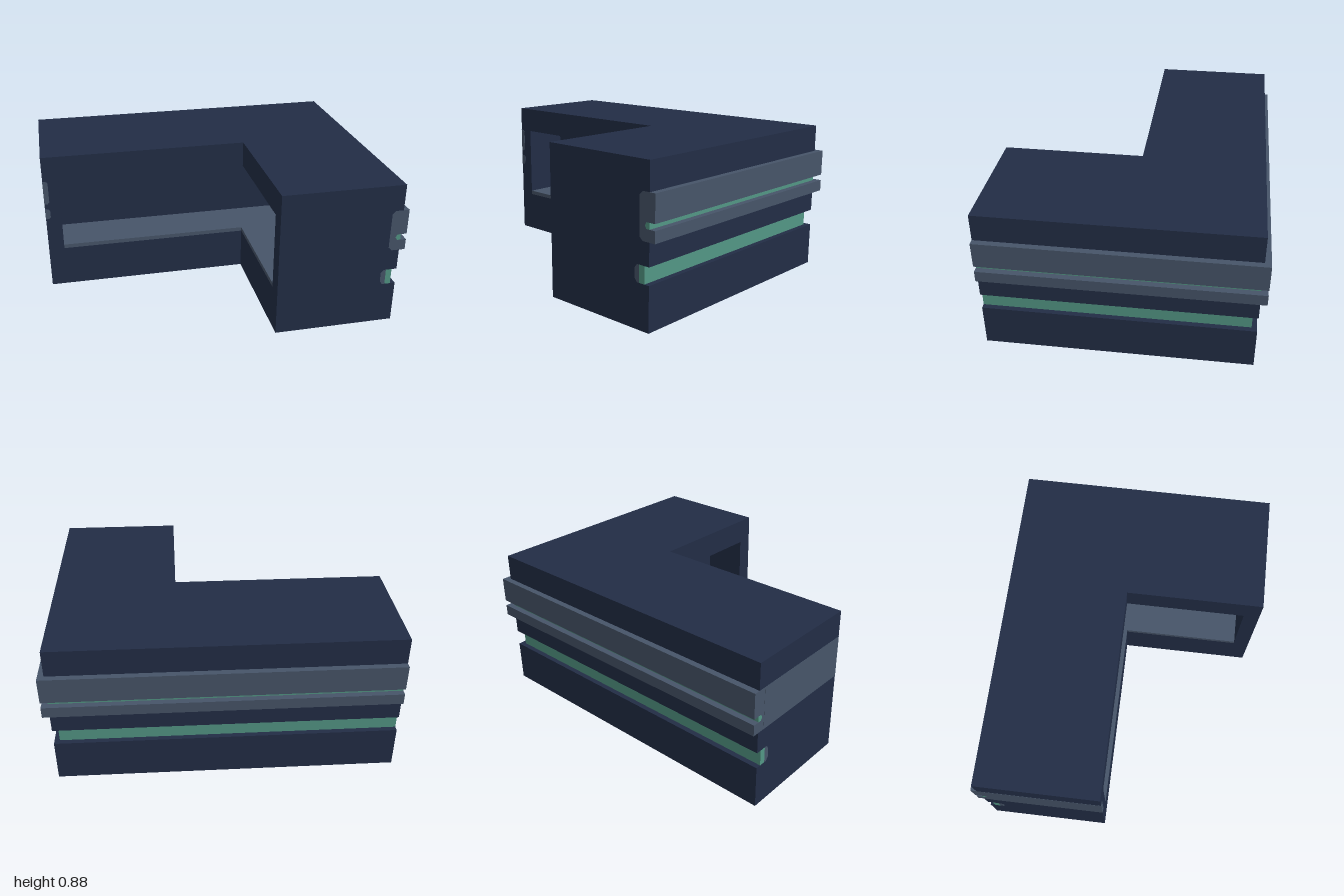
import * as THREE from 'three';

const mat = (name, color) => {
  const m = new THREE.MeshStandardMaterial({ color });
  m.name = name;
  return m;
};

// Sweep a profile of [inset, height] points along the outer side of the L, mitred at the corner
function sweep(points) {
  let pts = points.map(([d, y]) => new THREE.Vector2(-d, y));
  if (THREE.ShapeUtils.isClockWise(pts)) pts.reverse();
  const stations = [
    (p) => [1 + p.x, p.y, 0.78],
    (p) => [1 + p.x, p.y, -0.78 - p.x],
    (p) => [-1, p.y, -0.78 - p.x],
  ];
  const pos = [];
  const tri = (a, b, c) => pos.push(...a, ...b, ...c);
  pts.forEach((p, i) => {
    const q = pts[(i + 1) % pts.length];
    for (let s = 0; s < 2; s++) {
      const [A, B] = [stations[s], stations[s + 1]];
      tri(A(p), B(p), B(q));
      tri(A(p), B(q), A(q));
    }
  });
  for (const [a, b, c] of THREE.ShapeUtils.triangulateShape(pts, [])) {
    tri(stations[0](pts[a]), stations[0](pts[b]), stations[0](pts[c]));
    tri(stations[2](pts[a]), stations[2](pts[c]), stations[2](pts[b]));
  }
  const g = new THREE.BufferGeometry();
  g.setAttribute('position', new THREE.Float32BufferAttribute(pos, 3));
  g.computeVertexNormals();
  return g;
}

// Extrude a plan of [x, z] points from y0 up to y1
function slab(plan, y0, y1) {
  const shape = new THREE.Shape(plan.map(([x, z]) => new THREE.Vector2(x, -z)));
  return new THREE.ExtrudeGeometry(shape, { depth: y1 - y0, bevelEnabled: false })
    .rotateX(-Math.PI / 2).translate(0, y0, 0);
}

export function createModel() {
  const group = new THREE.Group();
  const navy = mat('navy', 0x222d46);
  const slate = mat('slate', 0x475569);
  const teal = mat('teal', 0x539785);
  const add = (name, geometry, material) => {
    const m = new THREE.Mesh(geometry, material);
    m.name = name;
    group.add(m);
    return m;
  };

  // Heights and plan lines
  const H = 0.876, recess0 = 0.255, recess1 = 0.72, inset = 0.14;
  const ox = 1 - inset, oz = -0.78 + inset; // outer lines of the core
  const ix = 0.25, iz = -0.035;             // inner corner
  const rx = 0.53, rz = -0.32;              // back walls of the recess
  const ex = -0.905, ez = 0.685;            // ends of the recess

  // Core: solid below and above, hollowed on the inner side between
  const outer = [[-1, iz], [-1, oz], [ox, oz], [ox, 0.78], [ix, 0.78]];
  const full = [...outer, [ix, iz]];
  const hollow = [...outer, [ix, ez], [rx, ez], [rx, rz], [ex, rz], [ex, iz]];
  add('base', slab(full, 0, recess0), navy);
  add('recessWalls', slab(hollow, recess0, recess1), navy);
  add('top', slab(full, recess1, H), navy);
  add('shelf', slab([[ex, iz], [ex, rz], [rx, rz], [rx, ez], [ix, ez], [ix, iz]],
    recess0, 0.28), slate);

  // Outer shell with a socket for the rail and one for the light strip
  const rail = [[0.08, 0.47], [0.1, 0.49], [0.1, 0.7], [0.08, 0.72]];
  const channel = [[0.1, 0.25], [0.115, 0.25], [0.13, 0.27], [0.13, 0.325], [0.115, 0.345], [0.1, 0.345]];
  add('outerShell', sweep([
    [inset, 0], [0.035, 0], [0.035, 0.25], ...channel, [0.035, 0.345],
    [0.035, 0.47], ...rail, [0.035, 0.72], [0.035, H], [inset, H],
  ]), navy);

  // Protruding rail with a lit groove
  const groove = [[0.035, 0.57], [0.055, 0.57], [0.065, 0.552], [0.055, 0.535], [0.035, 0.535]];
  add('rail', sweep([
    [0, 0.47], ...rail, [0, 0.72], [0, 0.57], ...groove, [0, 0.535],
  ]), slate);
  add('railLight', sweep(groove), teal);

  // Sunken light strip and its backing
  add('stripBacking', sweep(channel), slate);
  add('stripLight', sweep([[0.065, 0.25], [0.1, 0.25], [0.1, 0.345], [0.065, 0.345]]), teal);

  // Band across the left end, wrapping as two short tabs onto the inner face
  const band = add('endBand', new THREE.BoxGeometry(0.002, 0.25, 0.665), slate);
  band.position.set(-1, 0.595, -0.3675);
  for (const [y0, y1] of [[0.57, 0.72], [0.47, 0.535]]) {
    const c = 0.012;
    const tab = new THREE.Shape([[-1, y0], [-0.97 - c, y0], [-0.97, y0 + c],
      [-0.97, y1 - c], [-0.97 - c, y1], [-1, y1]].map((p) => new THREE.Vector2(...p)));
    const g = new THREE.ExtrudeGeometry(tab, { depth: 0.004, bevelEnabled: false });
    add('endTab', g.translate(0, 0, iz - 0.002), slate);
  }
  return group;
}
